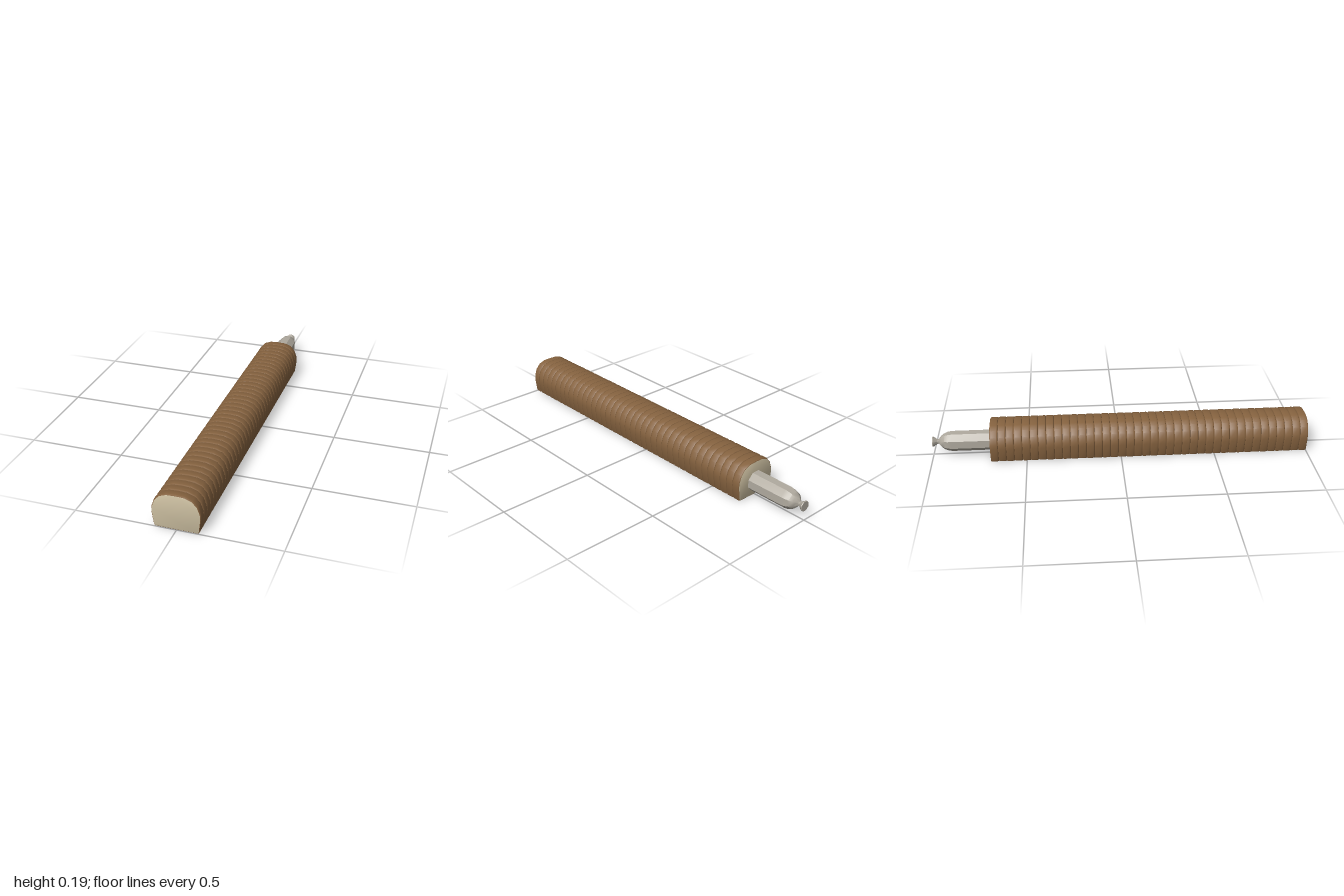
import * as THREE from 'three';
import { toCreasedNormals } from 'three/addons/utils/BufferGeometryUtils.js';

const mat = (name, color, side = THREE.FrontSide) => {
  const m = new THREE.MeshStandardMaterial({ color, side });
  m.name = name;
  return m;
};

export function createModel() {
  const crust = mat('crust brown', 0x85623f);
  const crumb = mat('crumb tan', 0xcabd9f);
  const metal = mat('warm grey', 0xb0aa9f);
  const group = new THREE.Group();
  group.name = 'slicedLoaf';

  // Loaf outline: right half, mirrored to the left
  const half = [
    [0.098, 0], [0.106, 0.003], [0.11, 0.012], [0.119, 0.08], [0.117, 0.105],
    [0.104, 0.143], [0.079, 0.171], [0.043, 0.184], [0, 0.186],
  ];
  const outline = [
    ...half,
    ...half.slice(0, -1).reverse().map(([x, y]) => [-x, y]),
  ].map(([x, y]) => new THREE.Vector2(x, y));

  // One slice with a softened crust edge; flat faces are crumb
  const count = 40, front = 1, back = -0.69;
  const pitch = (front - back) / count, bevel = 0.008, inset = 0.004;
  const sliceGeo = toCreasedNormals(new THREE.ExtrudeGeometry(new THREE.Shape(outline), {
    depth: pitch - 2 * bevel,
    bevelThickness: bevel,
    bevelSize: inset,
    bevelOffset: -inset,
    bevelSegments: 3,
  }), 0.6);
  const loaf = new THREE.Group();
  loaf.name = 'slices';
  for (let i = 0; i < count; i++) {
    const slice = new THREE.Mesh(sliceGeo, [crumb, crust]);
    slice.name = `slice${i + 1}`;
    slice.position.z = back + i * pitch + bevel;
    loaf.add(slice);
  }
  group.add(loaf);

  // Eight-sided rod with a rounded end, a pinched neck and a flared tip
  const r = 0.054;
  const profile = [
    [0, 0.66], [r, 0.66], [r, 0.895], [0.051, 0.915], [0.044, 0.934],
    [0.033, 0.95], [0.02, 0.961], [0.012, 0.968], [0.014, 0.976], [0.028, 0.996],
    [0.027, 1], [0, 1],
  ].map(([x, y]) => new THREE.Vector2(x, y));
  const rodGeo = toCreasedNormals(new THREE.LatheGeometry(profile, 8, Math.PI / 8), 0.7);
  const rod = new THREE.Mesh(rodGeo, metal);
  rod.name = 'rod';
  rod.rotation.x = -Math.PI / 2;
  rod.position.y = 0.077;
  group.add(rod);

  return group;
}
